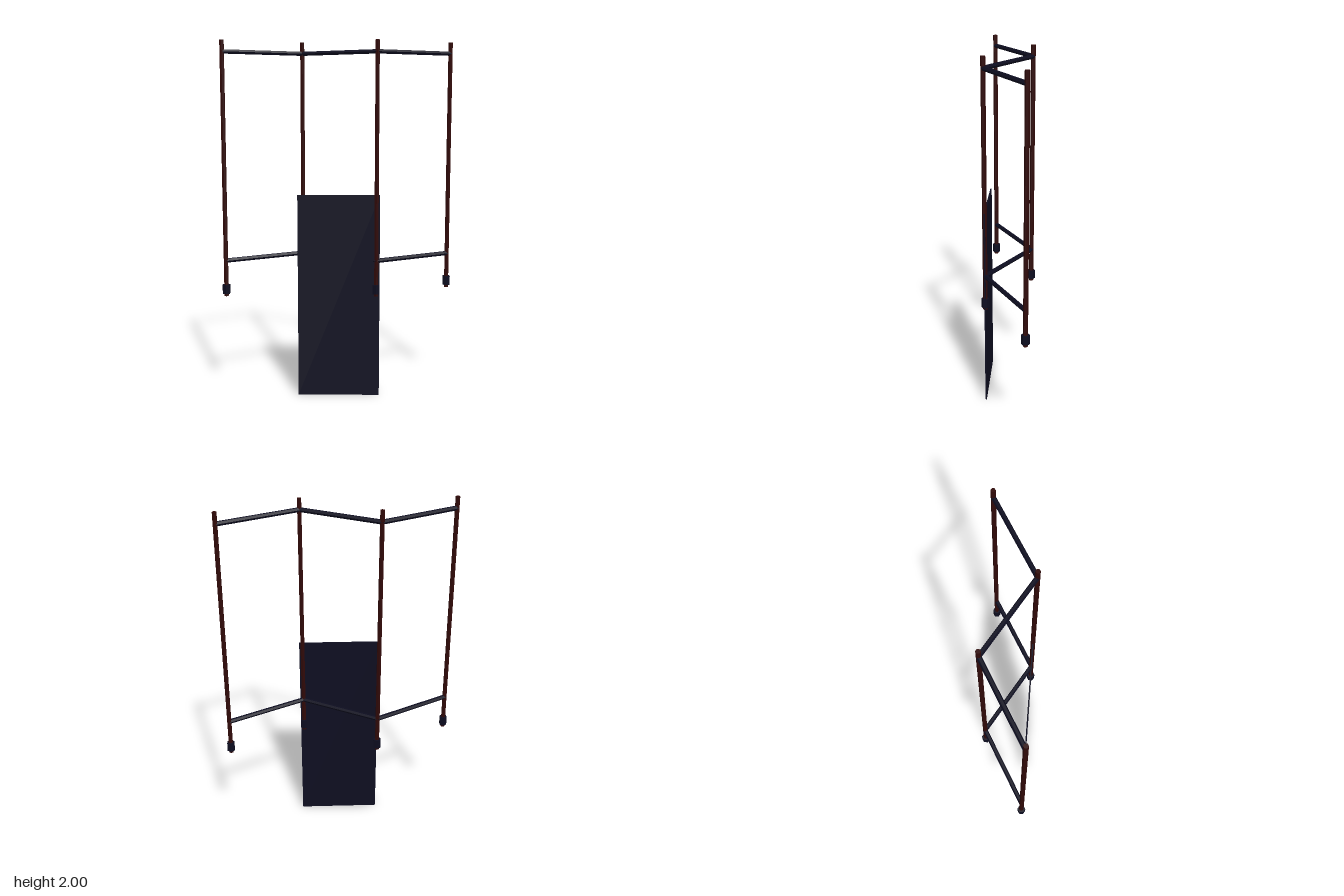
import * as THREE from 'three';

const frameRed = new THREE.MeshStandardMaterial({ name: 'dark red post', color: 0x300908, flatShading: true });
const navy = new THREE.MeshStandardMaterial({ name: 'dark navy', color: 0x0d0d20, flatShading: true });

function add(parent, name, geometry, material, x, y, z) {
  const mesh = new THREE.Mesh(geometry, material);
  mesh.name = name;
  mesh.position.set(x, y, z);
  parent.add(mesh);
  return mesh;
}

export function createModel() {
  const model = new THREE.Group();
  model.name = 'foldingScreen';

  // Zigzag line of posts, each fold turned 30 degrees
  const corners = [[-0.634, 0.122], [-0.211, -0.122], [0.211, 0.122], [0.634, -0.122]];

  // Upright posts with hexagonal feet
  const postGeo = new THREE.CylinderGeometry(0.013, 0.013, 1.42, 6);
  const footGeo = new THREE.CylinderGeometry(0.023, 0.023, 0.052, 6);
  for (const [x, z] of corners) {
    add(model, 'post', postGeo, frameRed, x, 1.29, z);
    add(model, 'foot', footGeo, navy, x, 0.62, z);
  }

  // Upper and lower rails between neighbouring posts
  for (let i = 0; i < 3; i++) {
    const [x0, z0] = corners[i];
    const [x1, z1] = corners[i + 1];
    const railGeo = new THREE.CylinderGeometry(0.013, 0.013, Math.hypot(x1 - x0, z1 - z0), 6);
    railGeo.rotateZ(Math.PI / 2);
    for (const y of [0.783, 1.937]) {
      const rail = add(model, y > 1 ? 'upperRail' : 'lowerRail', railGeo, navy, (x0 + x1) / 2, y, (z0 + z1) / 2);
      rail.rotation.y = -Math.atan2(z1 - z0, x1 - x0);
    }
  }

  // Thin hanging panel
  add(model, 'panel', new THREE.BoxGeometry(0.46, 1.155, 0.008), navy, 0, 0.5775, 0.122);

  return model;
}
